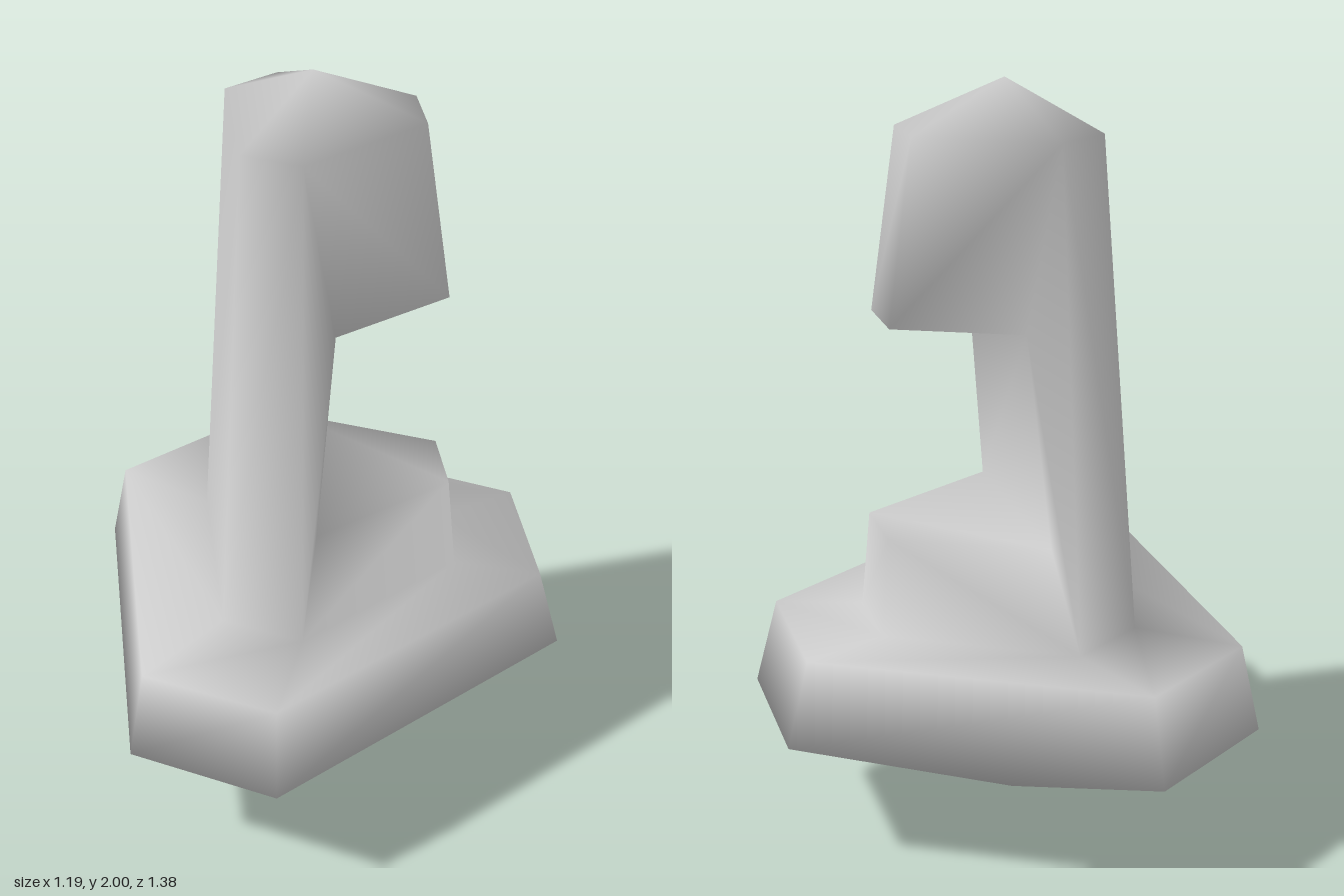
import * as THREE from 'three';

export function createModel() {
  const stone = new THREE.MeshStandardMaterial({ color: 0xcccccc });
  stone.name = 'pale grey';

  const points = [];
  const add = (x, y, z) => points.push(x, y, z) / 3 - 1;
  // mirrored pair: [+z vertex, -z vertex]
  const pair = (x, y, z) => [add(x, y, z), add(x, y, -z)];
  // six-sided ring from back, side and front corner pairs, anticlockwise from above
  const ring = (b, s, f) => [b[0], s[0], f[0], f[1], s[1], b[1]];

  const baseFaces = [], towerFaces = [];
  const quad = (out, a, b, c, d) => out.push(a, b, c, a, c, d);
  const band = (out, lo, up) => lo.forEach((_, i) => {
    const j = (i + 1) % 6;
    quad(out, lo[i], lo[j], up[j], up[i]);
  });

  // base: pointed underside, sloping rim and flat deck
  const tip = add(-0.08, 0, 0);
  const rim = ring(pair(-0.597, 0.352, 0.48), pair(-0.242, 0.352, 0.688), pair(0.595, 0.352, 0.2));
  const deck = ring(pair(-0.552, 0.586, 0.448), pair(-0.232, 0.586, 0.63), pair(0.535, 0.586, 0.187));
  rim.forEach((p, i) => baseFaces.push(tip, rim[(i + 1) % 6], p));
  band(baseFaces, rim, deck);

  // tower corners
  const B0 = pair(-0.33, 0.586, 0.262), R0 = pair(-0.135, 0.586, 0.372), F0 = pair(0.315, 0.586, 0.105);
  const B1 = pair(-0.243, 1.883, 0.184), R1 = pair(-0.107, 1.883, 0.262), H0 = pair(0.21, 1.883, 0.078);
  const F1 = pair(0.292, 0.852, 0.095), N1 = pair(-0.085, 0.852, 0.282);
  const N2 = pair(-0.03, 1.413, 0.237), H1 = pair(0.276, 1.413, 0.087);
  const foot = ring(B0, R0, F0), crown = ring(B1, R1, H0);
  band(baseFaces, deck, foot);

  // tower: flanks around the notch, mirrored across z
  const flank = [[R0, F0, F1], [R0, F1, N1], [R0, N1, N2], [R0, N2, R1], [R1, N2, H1], [R1, H1, H0],
    [B0, R0, R1], [B0, R1, B1]];
  for (const [a, b, c] of flank) towerFaces.push(a[0], b[0], c[0], a[1], c[1], b[1]);
  // step front, ledge, notch wall, overhang underside, head front
  const strip = [F0, F1, N1, N2, H1, H0];
  for (let i = 0; i < 5; i++) {
    const p = strip[i], q = strip[i + 1];
    quad(towerFaces, p[0], p[1], q[1], q[0]);
  }
  // back wall and pointed roof
  quad(towerFaces, B0[1], B0[0], B1[0], B1[1]);
  const peak = add(-0.05, 2, 0);
  crown.forEach((p, i) => towerFaces.push(p, crown[(i + 1) % 6], peak));

  // smooth normals run across both parts
  const whole = new THREE.BufferGeometry();
  whole.setAttribute('position', new THREE.Float32BufferAttribute(points, 3));
  whole.setIndex([...baseFaces, ...towerFaces]);
  whole.computeVertexNormals();

  const group = new THREE.Group();
  group.name = 'notchedTower';
  for (const [name, faces] of [['base', baseFaces], ['tower', towerFaces]]) {
    const mesh = new THREE.Mesh(whole.clone().setIndex(faces), stone);
    mesh.name = name;
    group.add(mesh);
  }
  return group;
}
